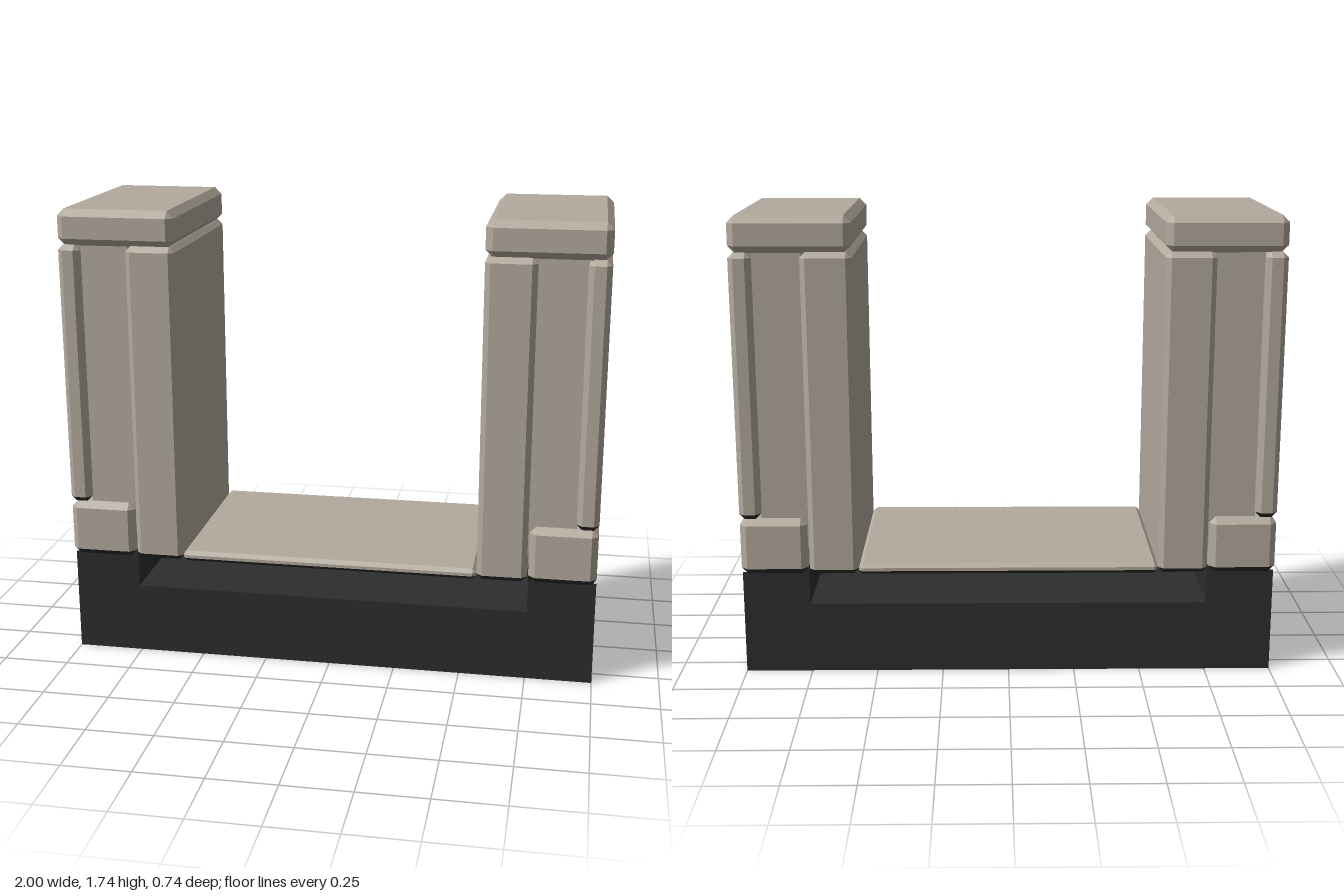
import * as THREE from 'three';
import { ConvexGeometry } from 'three/addons/geometries/ConvexGeometry.js';

const stone = new THREE.MeshStandardMaterial({ color: 0xb3aa9d, side: THREE.DoubleSide });
stone.name = 'warm stone';
const dark = new THREE.MeshStandardMaterial({ color: 0x2d2d2d, side: THREE.DoubleSide });
dark.name = 'charcoal';

// Drops faces by normal and sends downward faces to a second material group
function sortFaces(source, drop, isDark) {
  const geo = source.index ? source.toNonIndexed() : source;
  const pos = geo.attributes.position;
  const tri = new THREE.Triangle();
  const n = new THREE.Vector3();
  const light = [], under = [];
  for (let i = 0; i < pos.count; i += 3) {
    tri.setFromAttributeAndIndices(pos, i, i + 1, i + 2);
    tri.getNormal(n);
    if (drop(n)) continue;
    const list = isDark(n) ? under : light;
    for (const p of [tri.a, tri.b, tri.c]) list.push(p.x, p.y, p.z);
  }
  const out = new THREE.BufferGeometry();
  out.setAttribute('position', new THREE.Float32BufferAttribute(light.concat(under), 3));
  out.addGroup(0, light.length / 3, 0);
  out.addGroup(light.length / 3, under.length / 3, 1);
  out.computeVertexNormals();
  return out;
}

// Box with chamfered edges; open = +1 or -1 leaves that x end open
function chamferBox(name, [x0, x1], [y0, y1], halfZ, c, open = 0, darkUnder = true) {
  const points = [];
  const cx = (x0 + x1) / 2, cy = (y0 + y1) / 2;
  const hx = Math.abs(x1 - x0) / 2, hy = (y1 - y0) / 2;
  for (const a of [-1, 1]) for (const b of [-1, 1]) for (const d of [-1, 1]) {
    for (let k = 0; k < 3; k++) {
      points.push(new THREE.Vector3(
        cx + a * (hx - (k === 0 ? 0 : c)),
        cy + b * (hy - (k === 1 ? 0 : c)),
        d * (halfZ - (k === 2 ? 0 : c))));
    }
  }
  const geo = sortFaces(new ConvexGeometry(points),
    n => n.x * open > 0.99, n => darkUnder && n.y < -0.1);
  const mesh = new THREE.Mesh(geo, [stone, dark]);
  mesh.name = name;
  return mesh;
}

// Plain box, optionally without its top and one x end
function plainBox(name, [x0, x1], [y0, y1], halfZ, material, open = 0) {
  const box = new THREE.BoxGeometry(Math.abs(x1 - x0), y1 - y0, halfZ * 2);
  box.translate((x0 + x1) / 2, (y0 + y1) / 2, 0);
  const geo = sortFaces(box, n => n.x * open > 0.99 || (open !== 0 && n.y > 0.99), () => false);
  const mesh = new THREE.Mesh(geo, [material, material]);
  mesh.name = name;
  return mesh;
}

export function createModel() {
  const model = new THREE.Group();
  model.name = 'parapet';

  // Low foundation beam and the floor slab floating above it
  model.add(plainBox('foundationBeam', [-0.75, 0.75], [0, 0.27], 0.33, dark));
  model.add(chamferBox('floorSlab', [-0.56, 0.56], [0.4, 0.44], 0.37, 0.014));

  // Two mirrored merlons, open at their outer ends
  for (const s of [1, -1]) {
    const merlon = new THREE.Group();
    merlon.name = s > 0 ? 'leftMerlon' : 'rightMerlon';
    const span = (a, b) => [s * a, s * b];
    merlon.add(
      plainBox('foundationEnd', span(0.75, 1), [0, 0.4], 0.33, dark, s),
      chamferBox('innerPillar', span(0.56, 0.745), [0.4, 1.605], 0.37, 0.02),
      plainBox('recessedCore', span(0.74, 0.92), [0.5, 1.61], 0.34, stone),
      chamferBox('plinthBlock', span(0.75, 1), [0.4, 0.615], 0.37, 0.024, s),
      chamferBox('outerPanel', span(0.918, 1), [0.615, 1.605], 0.37, 0.02, s),
      chamferBox('capStone', span(0.56, 1), [1.602, 1.735], 0.37, 0.026, s, false));
    model.add(merlon);
  }
  return model;
}
